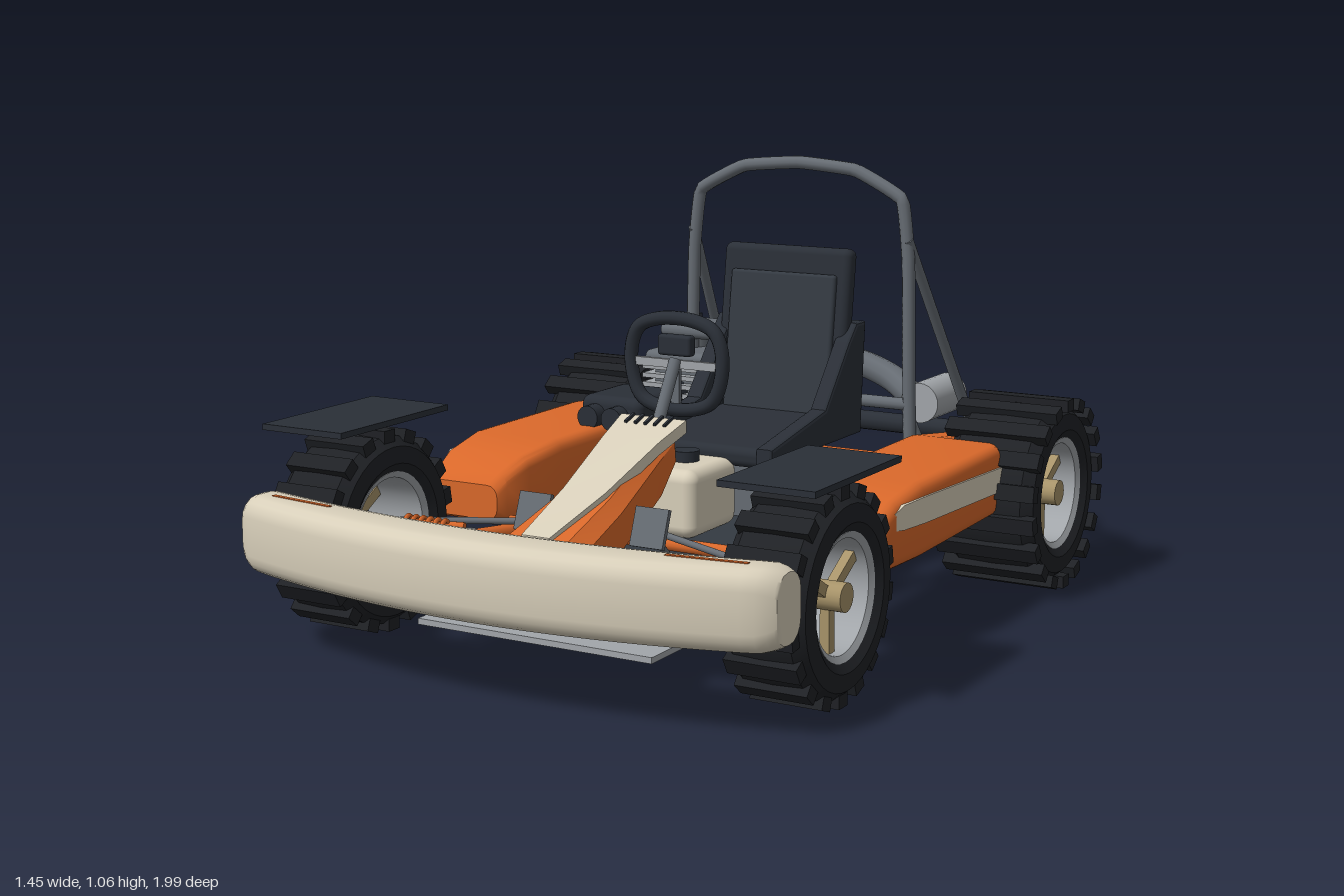
import * as THREE from 'three';
import { toCreasedNormals } from 'three/addons/utils/BufferGeometryUtils.js';
import { RoundedBoxGeometry } from 'three/addons/geometries/RoundedBoxGeometry.js';

const mat = (color) => new THREE.MeshStandardMaterial({ color });
const M = {
  orange: mat(0xd9682a), cream: mat(0xd8cfba), dark: mat(0x2a2f37), tyre: mat(0x1f2125), floor: mat(0x343a42),
  steel: mat(0x666c73), light: mat(0xa2a6aa), tan: mat(0xa8946a), screen: mat(0x1c3a40),
};
const V = (p) => new THREE.Vector3(...p);

export function createModel() {
  const root = new THREE.Group();
  const add = (name, geo, m, pos = [0, 0, 0], rot = [0, 0, 0], parent = root) => {
    const mesh = new THREE.Mesh(geo, M[m]);
    mesh.name = name;
    mesh.position.set(...pos);
    mesh.rotation.set(...rot);
    parent.add(mesh);
    return mesh;
  };
  const box = (name, m, size, pos, rot, r = 0, parent) => add(name,
    r ? new RoundedBoxGeometry(...size, 3, r) : new THREE.BoxGeometry(...size), m, pos, rot, parent);
  // Straight bar between two points
  const rod = (name, m, a, b, r, seg = 12, r2 = r) => {
    const d = V(b).sub(V(a));
    const mesh = add(name, new THREE.CylinderGeometry(r2, r, d.length(), seg), m);
    mesh.position.copy(V(a)).addScaledVector(d, 0.5);
    mesh.quaternion.setFromUnitVectors(new THREE.Vector3(0, 1, 0), d.normalize());
    return mesh;
  };
  // Bent tube with closed ends
  const tube = (name, m, pts, r, tension = 0.15) => {
    const curve = new THREE.CatmullRomCurve3(pts.map(V), false, 'catmullrom', tension);
    add(name, new THREE.TubeGeometry(curve, pts.length * 10, r, 10), m);
    for (const p of [pts[0], pts[pts.length - 1]]) add(name + 'End', new THREE.SphereGeometry(r, 10, 6), m, p);
  };
  // Skin over a row of closed rings, capped and turned outward
  const loft = (name, m, rings, crease = 0.6) => {
    const n = rings[0].length, pos = [];
    const tri = (a, b, c) => pos.push(...a, ...b, ...c);
    for (let i = 0; i < rings.length - 1; i++) {
      for (let j = 0; j < n; j++) {
        const k = (j + 1) % n, A = rings[i], B = rings[i + 1];
        tri(A[j], B[j], B[k]);
        tri(A[j], B[k], A[k]);
      }
    }
    const last = rings[rings.length - 1];
    for (let j = 1; j < n - 1; j++) {
      tri(rings[0][0], rings[0][j], rings[0][j + 1]);
      tri(last[0], last[j + 1], last[j]);
    }
    let vol = 0;
    for (let i = 0; i < pos.length; i += 9) {
      const [a, b, c] = [0, 3, 6].map((o) => V(pos.slice(i + o, i + o + 3)));
      vol += a.dot(b.cross(c));
    }
    if (vol < 0) for (let i = 0; i < pos.length; i += 9) {
      for (let k = 3; k < 6; k++) [pos[i + k], pos[i + k + 3]] = [pos[i + k + 3], pos[i + k]];
    }
    const g = new THREE.BufferGeometry();
    g.setAttribute('position', new THREE.Float32BufferAttribute(pos, 3));
    return add(name, toCreasedNormals(g, crease), m);
  };
  // Rounded rectangle outline as [u, v] pairs
  const roundRect = (u0, u1, v0, v1, r, steps = 4) => {
    const out = [];
    [[u1 - r, v1 - r], [u0 + r, v1 - r], [u0 + r, v0 + r], [u1 - r, v0 + r]].forEach(([u, v], q) => {
      for (let i = 0; i <= steps; i++) {
        const a = (q + i / steps) * Math.PI / 2;
        out.push([u + r * Math.cos(a), v + r * Math.sin(a)]);
      }
    });
    return out;
  };

  // Wheels: lathed tyre and rim, lugs, three spokes and hub
  const wheel = (name, x, z, w, lugW) => {
    const g = new THREE.Group();
    g.name = name;
    g.position.set(x, 0.24, z);
    root.add(g);
    const h = w / 2, side = Math.sign(x);
    const lathe = (pts) => toCreasedNormals(new THREE.LatheGeometry(pts.map((p) => new THREE.Vector2(...p)), 40), 0.6);
    const turn = [0, 0, Math.PI / 2];
    add('tyre', lathe([[0.138, -h + 0.015], [0.16, -h], [0.2, -h + 0.004], [0.222, -h + 0.03], [0.225, 0],
      [0.222, h - 0.03], [0.2, h - 0.004], [0.16, h], [0.138, h - 0.015], [0.138, -h + 0.015]]), 'tyre', [0, 0, 0], turn, g);
    add('rim', lathe([[0.125, -h + 0.02], [0.14, -h + 0.012], [0.14, h - 0.012], [0.125, h - 0.02], [0.125, -h + 0.02]]),
      'light', [0, 0, 0], turn, g);
    for (let i = 0; i < 18; i++) {
      const a = i / 18 * Math.PI * 2;
      box('lug', 'tyre', [lugW, 0.03, 0.04], [0, 0.224 * Math.cos(a), 0.224 * Math.sin(a)], [a, 0, 0], 0, g);
    }
    for (let i = 0; i < 3; i++) {
      const a = i / 3 * Math.PI * 2 + Math.PI;
      box('spoke', 'tan', [0.022, 0.12, 0.026], [side * h * 0.45, 0.075 * Math.cos(a), 0.075 * Math.sin(a)], [a, 0, 0], 0, g);
    }
    add('hub', new THREE.CylinderGeometry(0.032, 0.032, w * 0.8, 18), 'tan', [side * 0.01, 0, 0], turn, g);
  };

  for (const s of [1, -1]) {
    wheel('frontWheel', s * 0.587, 0.55, 0.2, 0.17);
    wheel('rearWheel', s * 0.593, -0.6, 0.245, 0.265);
    box('frontFender', 'dark', [0.225, 0.014, 0.405], [s * 0.593, 0.502, 0.553]);

    // Side pod: rows are z, inner x, outer x, bottom, top
    const pod = [[0.262, 0.405, 0.595, 0.215, 0.3], [0.24, 0.39, 0.607, 0.205, 0.325], [0.17, 0.372, 0.616, 0.203, 0.36],
      [0.05, 0.355, 0.625, 0.205, 0.382], [-0.4, 0.355, 0.625, 0.215, 0.385], [-0.43, 0.355, 0.61, 0.215, 0.385],
      [-0.435, 0.355, 0.47, 0.215, 0.385], [-0.7, 0.36, 0.465, 0.23, 0.35]];
    loft('sidePod', 'orange', pod.map(([z, a, b, y0, y1]) => roundRect(a, b, y0, y1, 0.028).map(([x, y]) => [s * x, y, z])));
    loft('sideStripe', 'cream', [[0.18, 0.6, 0.295, 0.335], [0.15, 0.609, 0.293, 0.35], [0.05, 0.616, 0.29, 0.352], [-0.41, 0.616, 0.275, 0.335]]
      .map(([z, x, y0, y1]) => [[x, y0], [x + 0.014, y0], [x + 0.014, y1], [x, y1]].map(([u, v]) => [s * u, v, z])));

    // Chassis rail
    tube('frameRail', 'orange', [[s * 0.4, 0.23, 0.61], [s * 0.3, 0.215, 0.28], [s * 0.28, 0.21, 0.1],
      [s * 0.33, 0.21, -0.3], [s * 0.35, 0.22, -0.6], [s * 0.37, 0.26, -0.81]], 0.018, 0.4);
    rod('rearBumperStay', 'steel', [s * 0.37, 0.27, -0.8], [s * 0.37, 0.295, -0.965], 0.014);
    rod('frontBumperStay', 'steel', [s * 0.38, 0.25, 0.58], [s * 0.38, 0.27, 0.84], 0.014);

    // Front suspension and steering links
    rod('upperArm', 'orange', [s * 0.33, 0.26, 0.5], [s * 0.54, 0.26, 0.55], 0.01);
    rod('lowerArm', 'orange', [s * 0.36, 0.215, 0.6], [s * 0.54, 0.22, 0.55], 0.01);
    rod('damper', 'light', [s * 0.27, 0.26, 0.55], [s * 0.35, 0.25, 0.55], 0.016);
    rod('stubAxle', 'steel', [s * 0.35, 0.24, 0.55], [s * 0.56, 0.24, 0.55], 0.012);
    for (let i = 0; i < 6; i++) {
      add('springCoil', new THREE.TorusGeometry(0.026, 0.006, 6, 16), 'orange', [s * (0.365 + i * 0.021), 0.25, 0.53], [0, Math.PI / 2 + 0.25, 0]);
    }
    rod('tieRod', 'steel', [s * 0.06, 0.27, 0.34], [s * 0.5, 0.26, 0.52], 0.008);
    rod('pedalArm', 'steel', [s * 0.16, 0.21, 0.38], [s * 0.16, 0.3, 0.48], 0.008);
    box('pedal', 'steel', [0.085, 0.09, 0.012], [s * 0.155, 0.31, 0.475], [-0.35, 0, 0]);

    // Hoop brace
    rod('hoopBrace', 'steel', [s * 0.31, 0.86, -0.525], [s * 0.365, 0.3, -0.86], 0.014);
    rod('hoopFoot', 'steel', [s * 0.31, 0.43, -0.53], [s * 0.36, 0.24, -0.6], 0.013);

    // Seat bolster
    const bolster = new THREE.Shape([[0, 0.37], [0, 0.395], [0.28, 0.445], [0.41, 0.6], [0.45, 0.64], [0.49, 0.64], [0.47, 0.37]]
      .map((p) => new THREE.Vector2(...p)));
    add('seatBolster', new THREE.ExtrudeGeometry(bolster, { depth: 0.03, bevelSize: 0.008, bevelThickness: 0.008, bevelSegments: 2 }),
      'dark', [s * 0.178 - 0.015, 0, -0.02], [0, Math.PI / 2, 0]);
    box('bumperSlash', 'orange', [0.18, 0.008, 0.01], [s * 0.515, 0.368, 0.855], [0, s * 0.13, 0]);
  }

  // Floor, skid plate and cross tubes
  box('floorPan', 'floor', [0.66, 0.015, 0.96], [0, 0.198, 0.17]);
  box('skidPlate', 'light', [0.61, 0.014, 0.2], [0, 0.092, 0.62]);
  for (const [z, w, y] of [[0.285, 0.7, 0.225], [0.55, 0.66, 0.23], [-0.34, 0.72, 0.22], [-0.72, 0.74, 0.25]]) {
    rod('crossTube', 'orange', [-w / 2, y, z], [w / 2, y, z], 0.016);
  }

  // Front bumper: rounded section swept along a shallow arc
  const bumper = [];
  for (let i = 0; i <= 28; i++) {
    const t = i / 14 - 1, x = 0.68 * Math.sin(t * Math.PI / 2), u = Math.abs(x) / 0.68;
    const back = 0.84 - 0.09 * u * u, front = 0.995 - 0.115 * u * u;
    const end = Math.max(0, (u - 0.93) / 0.07), k = 0.014 * end * end;
    bumper.push(roundRect(back + k, front - k, 0.192 + k, 0.37 - k, 0.045).map(([z, y]) => [x, y, z]));
  }
  loft('frontBumper', 'cream', bumper, 0.8);

  // Nose fairing: orange shell with a cream top strip; rows are z, half width, bottom, top
  const nose = [[0.2, 0.06, 0.4, 0.475], [0.3, 0.08, 0.34, 0.45], [0.5, 0.1, 0.26, 0.37], [0.7, 0.118, 0.22, 0.31], [0.8, 0.105, 0.21, 0.27]];
  loft('noseFairing', 'orange', nose.map(([z, w, y0, y1]) => [[-w, y0], [w, y0], [w * 0.95, y1 - 0.03], [w * 0.65, y1], [-w * 0.65, y1], [-w * 0.95, y1 - 0.03]]
    .map(([x, y]) => [x, y, z])));
  loft('noseStrip', 'cream', [[0.2, 0.088, 0.5], [0.3, 0.076, 0.466], [0.5, 0.056, 0.384], [0.7, 0.036, 0.32]]
    .map(([z, w, y]) => [[-w, y - 0.03, z], [w, y - 0.03, z], [w, y, z], [-w, y, z]]));
  for (let i = -2; i <= 2; i++) box('noseVent', 'dark', [0.007, 0.006, 0.04], [i * 0.026, 0.497, 0.222], [0.33, 0, 0]);

  // Fuel tank
  box('fuelTank', 'cream', [0.18, 0.165, 0.22], [0, 0.287, 0.06], [0, 0, 0], 0.03);
  add('fuelCap', new THREE.CylinderGeometry(0.033, 0.033, 0.03, 20), 'dark', [0, 0.38, 0.05]);

  // Steering
  rod('steeringColumn', 'steel', [0, 0.24, 0.32], [0, 0.62, 0.1], 0.015);
  const rim = new THREE.CatmullRomCurve3([[0.125, 0.62], [0.105, 0.69], [0.05, 0.715], [-0.05, 0.715], [-0.105, 0.69], [-0.125, 0.62],
    [-0.1, 0.53], [-0.05, 0.505], [0.05, 0.505], [0.1, 0.53]].map(([x, y]) => V([x, y, 0.095])), true);
  add('steeringWheel', new THREE.TubeGeometry(rim, 60, 0.017, 10, true), 'dark');
  box('steeringSpoke', 'light', [0.23, 0.02, 0.012], [0, 0.61, 0.095]);
  box('lowerSpoke', 'steel', [0.022, 0.1, 0.012], [0, 0.56, 0.095]);
  box('steeringDisplay', 'dark', [0.09, 0.05, 0.03], [0, 0.655, 0.095], [0, 0, 0], 0.008);
  box('displayScreen', 'screen', [0.07, 0.03, 0.004], [0, 0.657, 0.079]);

  // Seat
  box('seatCushion', 'dark', [0.34, 0.05, 0.44], [0, 0.385, -0.24], [0.06, 0, 0], 0.02);
  box('seatBack', 'dark', [0.365, 0.46, 0.05], [0, 0.605, -0.457], [-0.13, 0, 0], 0.02);
  box('seatBackPad', 'floor', [0.3, 0.36, 0.02], [0, 0.59, -0.427], [-0.13, 0, 0], 0.009);
  box('seatMount', 'steel', [0.26, 0.17, 0.3], [0, 0.285, -0.26]);

  // Roll hoop
  tube('rollHoop', 'steel', [[-0.325, 0.23, -0.53], [-0.318, 0.45, -0.53], [-0.31, 0.8, -0.53], [-0.29, 0.96, -0.53], [-0.16, 1.028, -0.53], [0, 1.042, -0.53],
    [0.16, 1.028, -0.53], [0.29, 0.96, -0.53], [0.31, 0.8, -0.53], [0.318, 0.45, -0.53], [0.325, 0.23, -0.53]], 0.017);
  rod('hoopCrossbar', 'steel', [-0.32, 0.44, -0.53], [0.32, 0.44, -0.53], 0.016);

  // Rear bumper
  tube('rearBumper', 'dark', [[-0.635, 0.295, -0.84], [-0.615, 0.295, -0.885], [-0.48, 0.295, -0.955], [0, 0.295, -0.972],
    [0.48, 0.295, -0.955], [0.615, 0.295, -0.885], [0.635, 0.295, -0.84]], 0.027);

  // Rear axle with sprocket and brake disc
  rod('rearAxle', 'light', [-0.52, 0.24, -0.6], [0.52, 0.24, -0.6], 0.017);
  rod('sprocket', 'dark', [-0.178, 0.24, -0.6], [-0.165, 0.24, -0.6], 0.13, 32);
  rod('brakeDisc', 'light', [-0.224, 0.24, -0.6], [-0.215, 0.24, -0.6], 0.09, 28);
  for (let i = 0; i < 3; i++) rod('axleCarrier', 'orange', [0.33 + i * 0.022, 0.24, -0.6], [0.34 + i * 0.022, 0.24, -0.6], 0.035, 16);

  // Engine: crankcase, cooling fins, top cover
  box('crankcase', 'light', [0.18, 0.22, 0.2], [-0.31, 0.3, -0.56], [0, 0, 0], 0.015);
  for (let i = 0; i < 4; i++) box('coolingFin', 'light', [0.2, 0.012, 0.23], [-0.315, 0.42 + i * 0.024, -0.55]);
  box('cylinderCore', 'steel', [0.16, 0.14, 0.18], [-0.31, 0.45, -0.55]);
  box('cylinderHead', 'steel', [0.2, 0.045, 0.24], [-0.31, 0.515, -0.55], [0, 0, 0], 0.018);
  box('topCover', 'steel', [0.17, 0.04, 0.15], [-0.32, 0.582, -0.575], [0, 0, 0], 0.019);
  rod('coverPost', 'steel', [-0.32, 0.52, -0.56], [-0.32, 0.57, -0.56], 0.03);
  rod('coverStud', 'dark', [-0.32, 0.6, -0.56], [-0.32, 0.625, -0.56], 0.015);

  // Air box with twin intakes
  box('airBox', 'dark', [0.185, 0.1, 0.21], [-0.352, 0.405, -0.275], [0, 0, 0], 0.025);
  for (const x of [-0.395, -0.325]) rod('intake', 'dark', [x, 0.405, -0.2], [x, 0.405, -0.13], 0.03, 18);
  rod('intakeDuct', 'dark', [-0.33, 0.41, -0.37], [-0.32, 0.43, -0.47], 0.03);

  // Exhaust and silencer
  tube('exhaustPipe', 'steel', [[-0.33, 0.48, -0.62], [-0.375, 0.5, -0.71], [-0.34, 0.505, -0.79], [-0.2, 0.505, -0.825],
    [0, 0.49, -0.825], [0.13, 0.46, -0.8], [0.23, 0.42, -0.745]], 0.036, 0.5);
  rod('silencer', 'light', [0.265, 0.41, -0.71], [0.265, 0.41, -0.9], 0.053, 24);
  rod('silencerTip', 'dark', [0.265, 0.41, -0.89], [0.265, 0.41, -0.94], 0.026, 16);
  return root;
}
